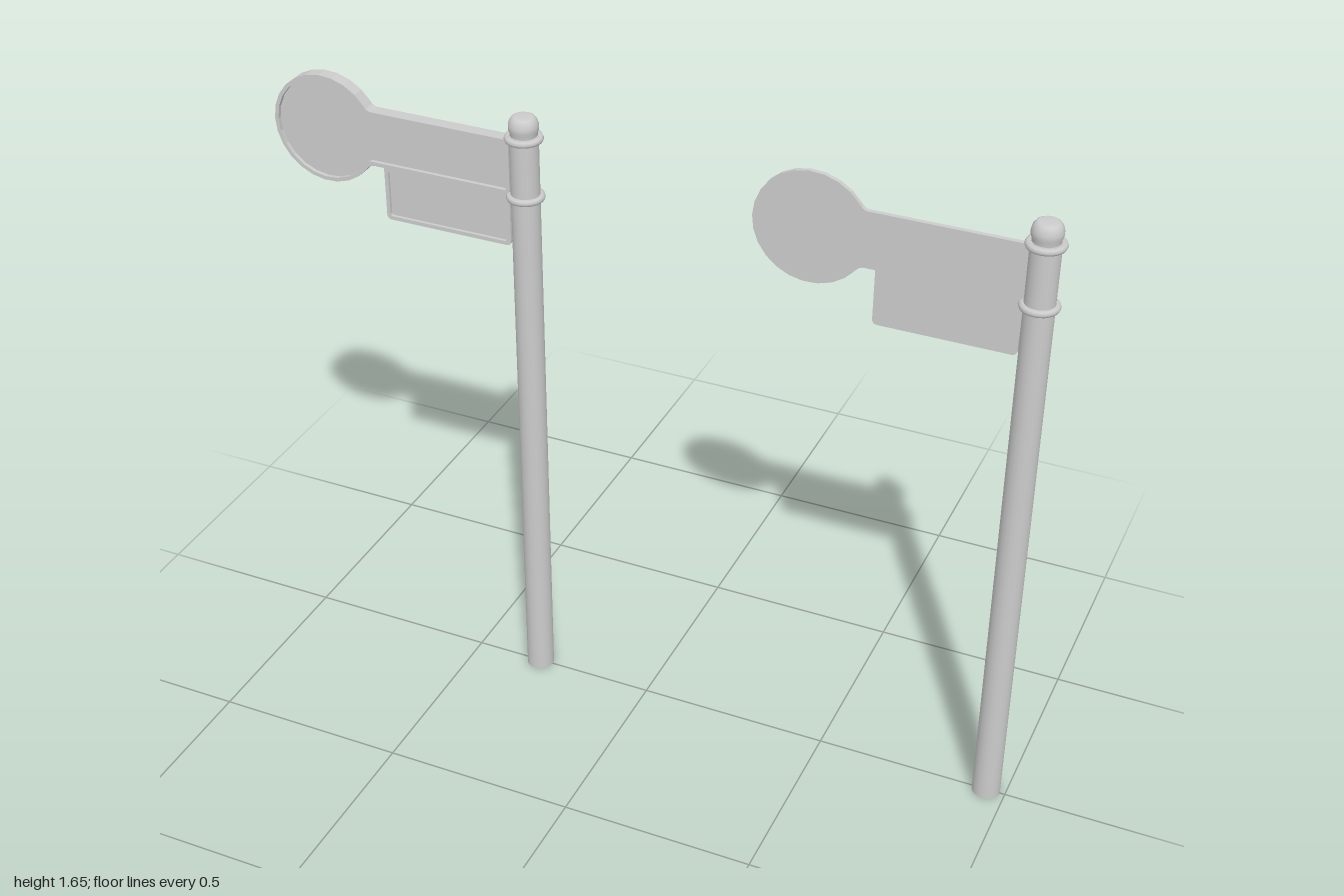
import * as THREE from 'three';

const material = new THREE.MeshStandardMaterial({ color: 0xcccccc });

// Sign dimensions, measured from the post axis (x = 0)
const DISC = { x: -0.542, y: 1.504, r: 0.142 };
const ARM = { end: -0.036, bottom: 1.43, top: 1.574 };
const PANEL = { left: -0.382, right: -0.038, bottom: 1.289, top: 1.43 };
const SIGN_Z = -0.003;

function add(group, name, geometry) {
  const mesh = new THREE.Mesh(geometry, material);
  mesh.name = name;
  group.add(mesh);
  return mesh;
}

// Disc with an arm reaching the post; withPanel adds the lower panel to the same outline
function discArmOutline(inset, withPanel = false) {
  const r = DISC.r - inset, top = ARM.top - inset, bottom = ARM.bottom + inset, end = ARM.end - inset;
  const a = Math.asin((top - DISC.y) / r), b = Math.asin((DISC.y - bottom) / r);
  const startX = DISC.x + r * Math.cos(a), stopX = DISC.x + r * Math.cos(b);
  const s = new THREE.Shape();
  s.absarc(DISC.x, DISC.y, r, a + 0.1, Math.PI * 2 - b - 0.1, false);
  s.quadraticCurveTo(stopX, bottom, stopX + 0.014, bottom);
  if (withPanel) {
    const c = 0.014;
    s.lineTo(PANEL.left, bottom);
    s.lineTo(PANEL.left, PANEL.bottom + c);
    s.quadraticCurveTo(PANEL.left, PANEL.bottom, PANEL.left + c, PANEL.bottom);
    s.lineTo(PANEL.right - c, PANEL.bottom);
    s.quadraticCurveTo(PANEL.right, PANEL.bottom, PANEL.right, PANEL.bottom + c);
  }
  s.lineTo(end, withPanel ? PANEL.top : bottom);
  s.lineTo(end, top);
  s.lineTo(startX + 0.014, top);
  s.quadraticCurveTo(startX, top, DISC.x + r * Math.cos(a + 0.1), DISC.y + r * Math.sin(a + 0.1));
  return s;
}

// Lower panel with two rounded bottom corners
function panelOutline(inset) {
  const l = PANEL.left + inset, r = PANEL.right - inset;
  const b = PANEL.bottom + inset, t = PANEL.top - inset;
  const c = 0.014 - inset * 0.5;
  const s = new THREE.Shape();
  s.moveTo(l, t);
  s.lineTo(l, b + c);
  s.quadraticCurveTo(l, b, l + c, b);
  s.lineTo(r - c, b);
  s.quadraticCurveTo(r, b, r, b + c);
  s.lineTo(r, t);
  s.closePath();
  return s;
}

// Plate of the given thickness, centred on the sign plane
function plate(shape, depth) {
  const g = new THREE.ExtrudeGeometry(shape, { depth, bevelEnabled: false, curveSegments: 10 });
  return g.translate(0, 0, SIGN_Z - depth / 2);
}

// Raised rim around an outline
function rim(outline, width, depth) {
  const shape = outline(0);
  shape.holes.push(outline(width));
  return plate(shape, depth);
}

function createPost() {
  const post = new THREE.Group();
  post.name = 'post';
  add(post, 'pole', new THREE.CylinderGeometry(0.036, 0.036, 1.59, 20)).position.y = 0.795;

  // Collars
  for (const y of [1.428, 1.582]) {
    const collar = add(post, 'collar', new THREE.TorusGeometry(0.039, 0.009, 8, 24));
    collar.rotation.x = Math.PI / 2;
    collar.position.y = y;
  }

  // Rounded cap with a flat top
  const cap = [[0.033, 1.585], [0.034, 1.598], [0.037, 1.606], [0.037, 1.616], [0.034, 1.628], [0.028, 1.636], [0.022, 1.639], [0, 1.639]];
  add(post, 'cap', new THREE.LatheGeometry(cap.map(([x, y]) => new THREE.Vector2(x, y)), 20));
  return post;
}

export function createModel() {
  const model = new THREE.Group();
  model.name = 'signposts';

  // Signpost with framed boards
  const framed = new THREE.Group();
  framed.name = 'framedSignpost';
  framed.position.x = -0.317;
  framed.add(createPost());
  add(framed, 'discBoard', plate(discArmOutline(0.005), 0.014));
  add(framed, 'discBoardRim', rim(discArmOutline, 0.01, 0.034));
  add(framed, 'lowerBoard', plate(panelOutline(0.005), 0.014));
  add(framed, 'lowerBoardRim', rim(panelOutline, 0.01, 0.03));

  // Signpost with a plain one-piece board
  const plain = new THREE.Group();
  plain.name = 'plainSignpost';
  plain.position.x = 0.95;
  plain.add(createPost());
  add(plain, 'board', plate(discArmOutline(0, true), 0.012));

  model.add(framed, plain);
  return model;
}
